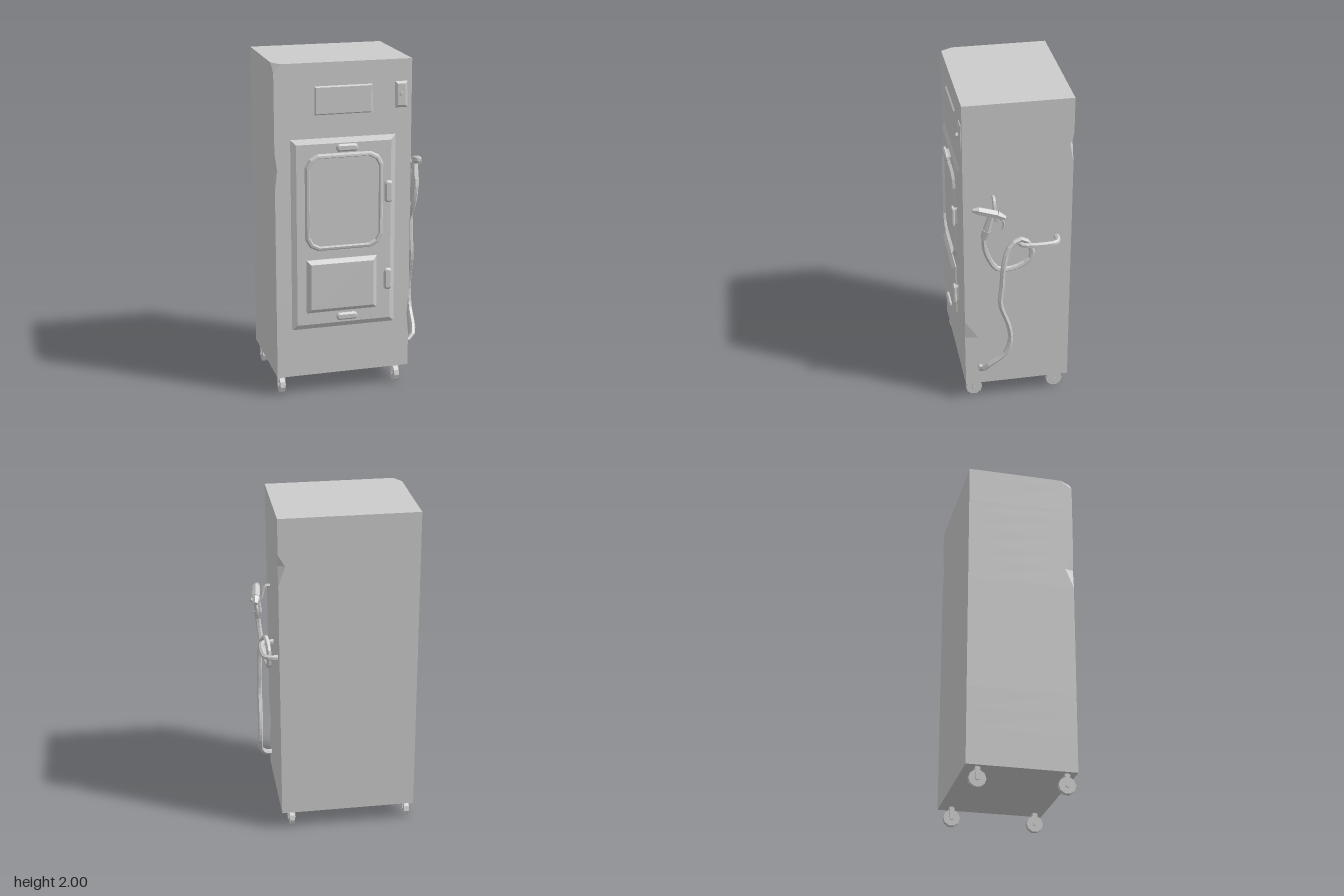
import * as THREE from 'three';

const V = (x, y, z) => new THREE.Vector3(x, y, z);

// Skin a stack of equal-length rings (counter-clockwise seen from the last ring) and cap both ends
function loft(rings) {
  const pos = [];
  const tri = (a, b, c) => {
    const area = b.clone().sub(a).cross(c.clone().sub(a)).length();
    if (area > 1e-9) for (const p of [a, b, c]) pos.push(p.x, p.y, p.z);
  };
  const n = rings[0].length;
  for (let i = 0; i < rings.length - 1; i++) {
    for (let j = 0; j < n; j++) {
      const k = (j + 1) % n, r = rings[i], s = rings[i + 1];
      tri(r[j], r[k], s[k]);
      tri(r[j], s[k], s[j]);
    }
  }
  const first = rings[0], last = rings[rings.length - 1];
  for (let j = 1; j < n - 1; j++) {
    tri(first[0], first[j + 1], first[j]);
    tri(last[0], last[j], last[j + 1]);
  }
  const geo = new THREE.BufferGeometry();
  geo.setAttribute('position', new THREE.Float32BufferAttribute(pos, 3));
  geo.computeVertexNormals();
  return geo;
}

// Front-facing plate: chamfered rectangle stepped through [inset, z] pairs
function plate(x0, x1, y0, y1, chamfer, steps) {
  return loft(steps.map(([d, z]) => {
    const l = x0 + d, r = x1 - d, b = y0 + d, t = y1 - d;
    const c = Math.max(chamfer - d * 0.5, 0), e = c * 0.35;
    return [
      [l + c, b], [r - c, b], [r - e, b + e], [r, b + c], [r, t - c], [r - e, t - e],
      [r - c, t], [l + c, t], [l + e, t - e], [l, t - c], [l, b + c], [l + e, b + e],
    ].map(([x, y]) => V(x, y, z));
  }));
}

// Cabinet with small chips: each layer gives the [x, z] cut on one of its corners
function cabinetGeometry() {
  const X0 = -0.465, X1 = 0.345, Z0 = -0.343, Z1 = 0.291;
  const layers = [
    [0.12], [0.33], [0.46, 'frontLeft', 0.012, 0.08], [0.58],
    [1.27], [1.39, 'frontRight', 0.014, 0.05], [1.49],
    [1.6], [1.72, 'backLeft', 0.04, 0.022], [1.79],
    [1.95], [2, 'frontRight', 0.04, 0.07],
  ];
  return loft(layers.map(([y, corner, cx, cz]) => {
    const cut = (name) => (name === corner ? [cx, cz] : [0, 0]);
    const [fl, bl, br, fr] = ['frontLeft', 'backLeft', 'backRight', 'frontRight'].map(cut);
    return [
      V(X1 - fl[0], y, Z1), V(X1, y, Z1 - fl[1]),
      V(X1, y, Z0 + bl[1]), V(X1 - bl[0], y, Z0),
      V(X0 + br[0], y, Z0), V(X0, y, Z0 + br[1]),
      V(X0, y, Z1 - fr[1]), V(X0 + fr[0], y, Z1),
    ];
  }));
}

// Tapered rod between two points
function rod(a, b, ra, rb, sides = 6) {
  const p = V(...a), q = V(...b), dir = q.clone().sub(p);
  const geo = new THREE.CylinderGeometry(rb, ra, dir.length(), sides);
  geo.applyQuaternion(new THREE.Quaternion().setFromUnitVectors(V(0, 1, 0), dir.normalize()));
  const mid = p.add(q).multiplyScalar(0.5);
  return geo.translate(mid.x, mid.y, mid.z);
}

function tube(points, radius, segments) {
  const curve = new THREE.CatmullRomCurve3(points.map((p) => V(...p)), false, 'centripetal');
  return new THREE.TubeGeometry(curve, segments, radius, 6);
}

export function createModel() {
  const model = new THREE.Group();
  model.name = 'cabinet';
  const grey = new THREE.MeshStandardMaterial({ color: 0xcccccc });
  grey.name = 'light grey';
  grey.flatShading = true;
  const add = (name, geo, parent = model) => {
    const mesh = new THREE.Mesh(geo, grey);
    mesh.name = name;
    parent.add(mesh);
    return mesh;
  };

  add('cabinetBody', cabinetGeometry());

  // Raised front: door slab, window frame and pane, lower hatch, control plate
  const wall = 0.285;
  add('door', plate(-0.373, 0.251, 0.415, 1.565, 0, [[0, wall], [0, 0.291], [0.03, 0.306]]));
  add('windowFrame', plate(-0.297, 0.177, 0.895, 1.48, 0.075,
    [[0, 0.3], [0.012, 0.322], [0.024, 0.324], [0.03, 0.309]]));
  add('lowerHatch', plate(-0.288, 0.137, 0.52, 0.845, 0, [[0, 0.3], [0, 0.312], [0.024, 0.33]]));
  add('controlPlate', plate(-0.235, 0.115, 1.695, 1.87, 0, [[0, wall], [0.012, 0.3]]));

  // Small switch plate with a round button
  add('switchPlate', plate(0.245, 0.318, 1.72, 1.872, 0, [[0, wall], [0, 0.295], [0.014, 0.303]]));
  add('switchButton', rod([0.281, 1.8, 0.3], [0.281, 1.8, 0.316], 0.014, 0.012, 8));

  // Door latches and handles: narrow neck, flared head
  const grip = (name, x, y, w, h) => add(name, plate(x - w / 2, x + w / 2, y - h / 2, y + h / 2, 0.014,
    [[0.006, 0.3], [0.012, 0.318], [0, 0.326], [0, 0.334], [0.01, 0.342]]));
  for (const y of [1.512, 0.49]) grip('latch', -0.05, y, 0.126, 0.044);
  for (const y of [1.235, 0.7]) grip('handle', 0.2, y, 0.046, 0.13);

  // Casters
  for (const x of [-0.43, 0.28]) {
    for (const z of [0.233, -0.272]) {
      const caster = new THREE.Group();
      caster.name = 'caster';
      caster.position.set(x, 0, z);
      model.add(caster);
      add('wheel', rod([-0.015, 0.05, 0], [0.015, 0.05, 0], 0.05, 0.05, 10), caster);
      add('axle', rod([-0.024, 0.05, 0], [0.024, 0.05, 0], 0.014, 0.014), caster);
      add('stem', rod([0, 0.095, 0], [0, 0.125, 0], 0.015, 0.015), caster);
      add('forkTop', new THREE.BoxGeometry(0.046, 0.012, 0.03).translate(0, 0.106, 0), caster);
      for (const s of [-1, 1]) {
        add('forkArm', new THREE.BoxGeometry(0.006, 0.065, 0.026).translate(s * 0.02, 0.075, 0), caster);
      }
    }
  }

  // Hose: leaves the side wall low down, climbs over the hook and loops round to the spray gun
  add('hose', tube([
    [0.335, 0.245, 0.2], [0.39, 0.25, 0.2], [0.415, 0.29, 0.175], [0.43, 0.4, 0.055],
    [0.43, 0.505, 0.03], [0.428, 0.6, 0.045], [0.425, 0.74, 0.09], [0.422, 0.865, 0.08],
    [0.42, 1.0, 0.07], [0.405, 1.11, 0.035], [0.39, 1.155, -0.035], [0.382, 1.11, -0.09],
    [0.38, 1.02, -0.1], [0.38, 0.96, 0], [0.385, 0.965, 0.1], [0.395, 1.03, 0.145],
    [0.41, 1.13, 0.18], [0.415, 1.21, 0.185],
  ], 0.016, 40));

  // U-shaped hook that carries the hose
  add('hoseHook', tube([
    [0.335, 1.125, -0.255], [0.385, 1.125, -0.255], [0.415, 1.125, -0.24], [0.425, 1.125, -0.19],
    [0.423, 1.125, -0.08], [0.41, 1.125, -0.04], [0.38, 1.125, -0.032], [0.335, 1.125, -0.032],
  ], 0.016, 18));

  // Bent peg that holds the spray gun
  add('gunPeg', tube([
    [0.335, 1.425, 0.118], [0.365, 1.425, 0.118], [0.385, 1.4, 0.118],
    [0.4, 1.35, 0.118], [0.43, 1.325, 0.118], [0.462, 1.345, 0.118],
  ], 0.011, 12));

  // Spray gun
  const gun = new THREE.Group();
  gun.name = 'sprayGun';
  model.add(gun);
  add('nozzle', rod([0.413, 1.387, 0.247], [0.416, 1.382, 0.215], 0.012, 0.024), gun);
  add('gunBarrel', rod([0.416, 1.382, 0.215], [0.43, 1.355, 0.11], 0.024, 0.026), gun);
  add('gunTail', rod([0.43, 1.355, 0.11], [0.437, 1.333, 0.065], 0.026, 0.014), gun);
  add('gunGrip', rod([0.422, 1.355, 0.14], [0.416, 1.25, 0.168], 0.018, 0.024), gun);
  add('gripCollar', rod([0.416, 1.25, 0.168], [0.414, 1.195, 0.184], 0.027, 0.019), gun);
  add('trigger', tube([
    [0.43, 1.34, 0.105], [0.428, 1.31, 0.075], [0.426, 1.28, 0.07], [0.425, 1.25, 0.08],
  ], 0.007, 6), gun);

  return model;
}
